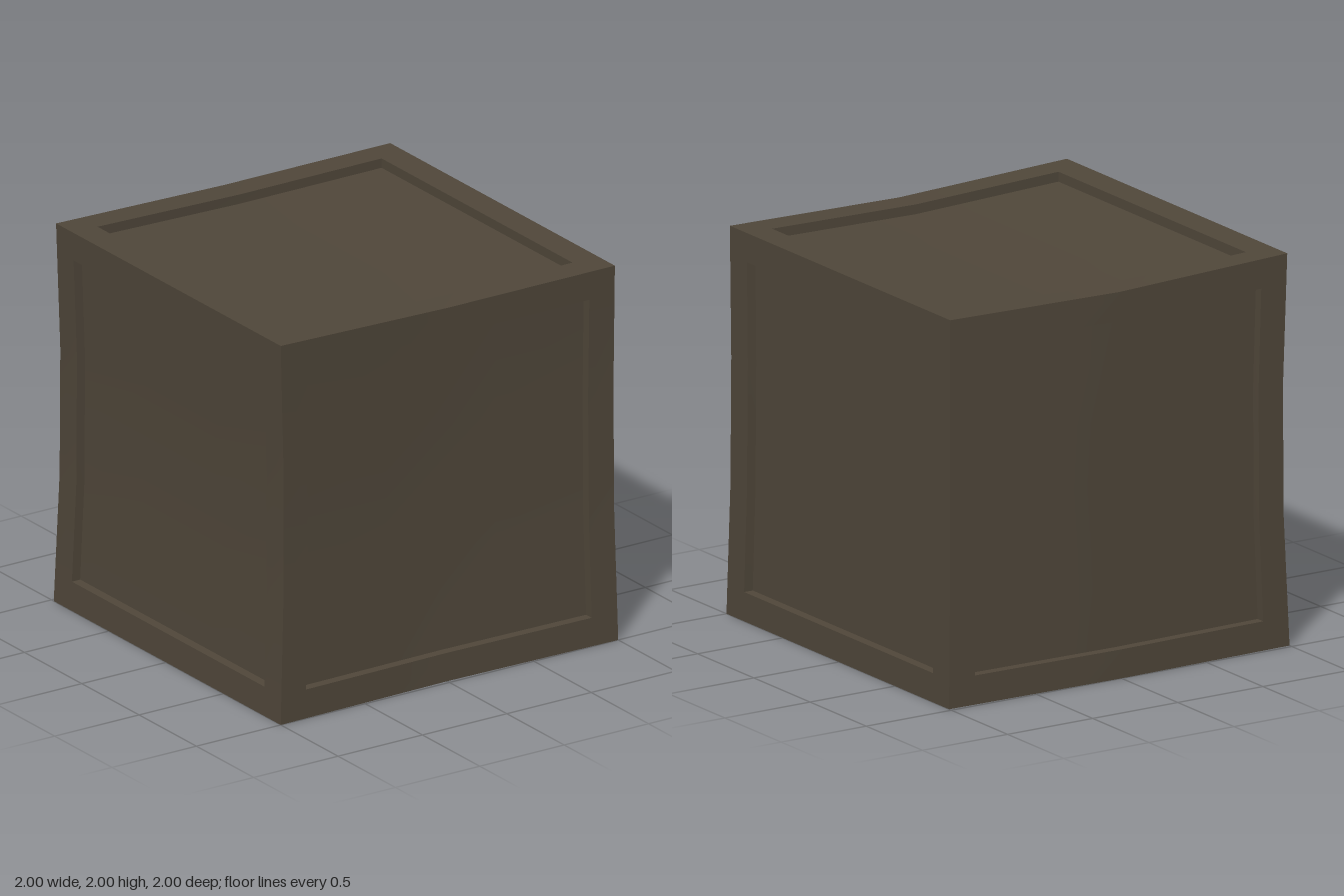
import * as THREE from 'three';
import { toCreasedNormals } from 'three/addons/utils/BufferGeometryUtils.js';

const STEPS = [-1, -0.85, -0.33, 0, 0.33, 0.85, 1]; // frame bars are the outer cells
const FLOOR = 0.95; // height of the recessed panels on the unit cube

// Piecewise linear curve through [position, value] pairs
function curve(points, t) {
  for (let i = 1; i < points.length; i++) {
    const [a, va] = points[i - 1], [b, vb] = points[i];
    if (t <= b) return va + ((vb - va) * (t - a)) / (b - a);
  }
  return points[points.length - 1][1];
}

// Bends the unit cube into the worn, slightly sagging crate
const LEFT = [[-1, 1], [-0.33, 0.97], [0.33, 0.97], [1, 1]];
const RIGHT = [[-1, 1], [-0.33, 0.99], [0.33, 0.985], [1, 0.98]];
const FRONT = [[-1, 1], [-0.33, 0.98], [0.33, 0.98], [1, 1]];
const BACK = [[-1, 0.98], [-0.33, 0.973], [0.33, 0.967], [1, 0.96]];
const TOP = [[-1, 2], [0, 1.97], [1, 1.98]];
function warp(p) {
  const middle = 0.02 * (1 - Math.abs(p.x));
  const sx = p.x < 0 ? curve(LEFT, p.y) : curve(RIGHT, p.y);
  const sz = p.z < 0 ? curve(BACK, p.y) + middle : curve(FRONT, p.y) - middle;
  return new THREE.Vector3(p.x * sx, ((p.y + 1) / 2) * curve(TOP, p.x), p.z * sz);
}

function meshFromQuads(quads, material, name) {
  const pos = [];
  for (const [a, b, c, d] of quads) {
    for (const p of [a, b, c, a, c, d]) pos.push(p.x, p.y, p.z);
  }
  const geometry = new THREE.BufferGeometry();
  geometry.setAttribute('position', new THREE.Float32BufferAttribute(pos, 3));
  const mesh = new THREE.Mesh(toCreasedNormals(geometry, Math.PI / 6), material);
  mesh.name = name;
  return mesh;
}

// One side of the crate: raised border, inner lip and sunken panel
function crateSide(name, n, u, material) {
  const normal = new THREE.Vector3(...n);
  const across = new THREE.Vector3(...u);
  const up = normal.clone().cross(across);
  const at = (a, b, h) => warp(new THREE.Vector3()
    .addScaledVector(normal, h).addScaledVector(across, a).addScaledVector(up, b));
  const frame = [], panel = [];
  const last = STEPS.length - 2;

  for (let i = 0; i <= last; i++) {
    for (let j = 0; j <= last; j++) {
      const border = i === 0 || j === 0 || i === last || j === last;
      const h = border ? 1 : FLOOR;
      const [a, b, c, d] = [STEPS[i], STEPS[i + 1], STEPS[j], STEPS[j + 1]];
      (border ? frame : panel).push([at(a, c, h), at(b, c, h), at(b, d, h), at(a, d, h)]);
    }
  }

  // Lip walls around the opening, facing its centre
  for (let i = 1; i < last; i++) {
    const s = STEPS[i], e = STEPS[i + 1], r = 0.85;
    for (const place of [
      (t, h) => at(t, -r, h), (t, h) => at(r, t, h),
      (t, h) => at(-t, r, h), (t, h) => at(-r, -t, h),
    ]) {
      frame.push([place(s, 1), place(e, 1), place(e, FLOOR), place(s, FLOOR)]);
    }
  }

  const side = new THREE.Group();
  side.name = name;
  side.add(meshFromQuads(frame, material, name + 'Frame'));
  side.add(meshFromQuads(panel, material, name + 'Panel'));
  return side;
}

export function createModel() {
  const wood = new THREE.MeshStandardMaterial({ color: 0x50473a });
  wood.name = 'dark brown wood';
  const crate = new THREE.Group();
  crate.name = 'crate';
  const sides = [
    ['front', [0, 0, 1], [1, 0, 0]],
    ['back', [0, 0, -1], [-1, 0, 0]],
    ['left', [1, 0, 0], [0, 0, -1]],
    ['right', [-1, 0, 0], [0, 0, 1]],
    ['top', [0, 1, 0], [1, 0, 0]],
    ['bottom', [0, -1, 0], [1, 0, 0]],
  ];
  for (const [name, n, u] of sides) crate.add(crateSide(name, n, u, wood));
  return crate;
}
